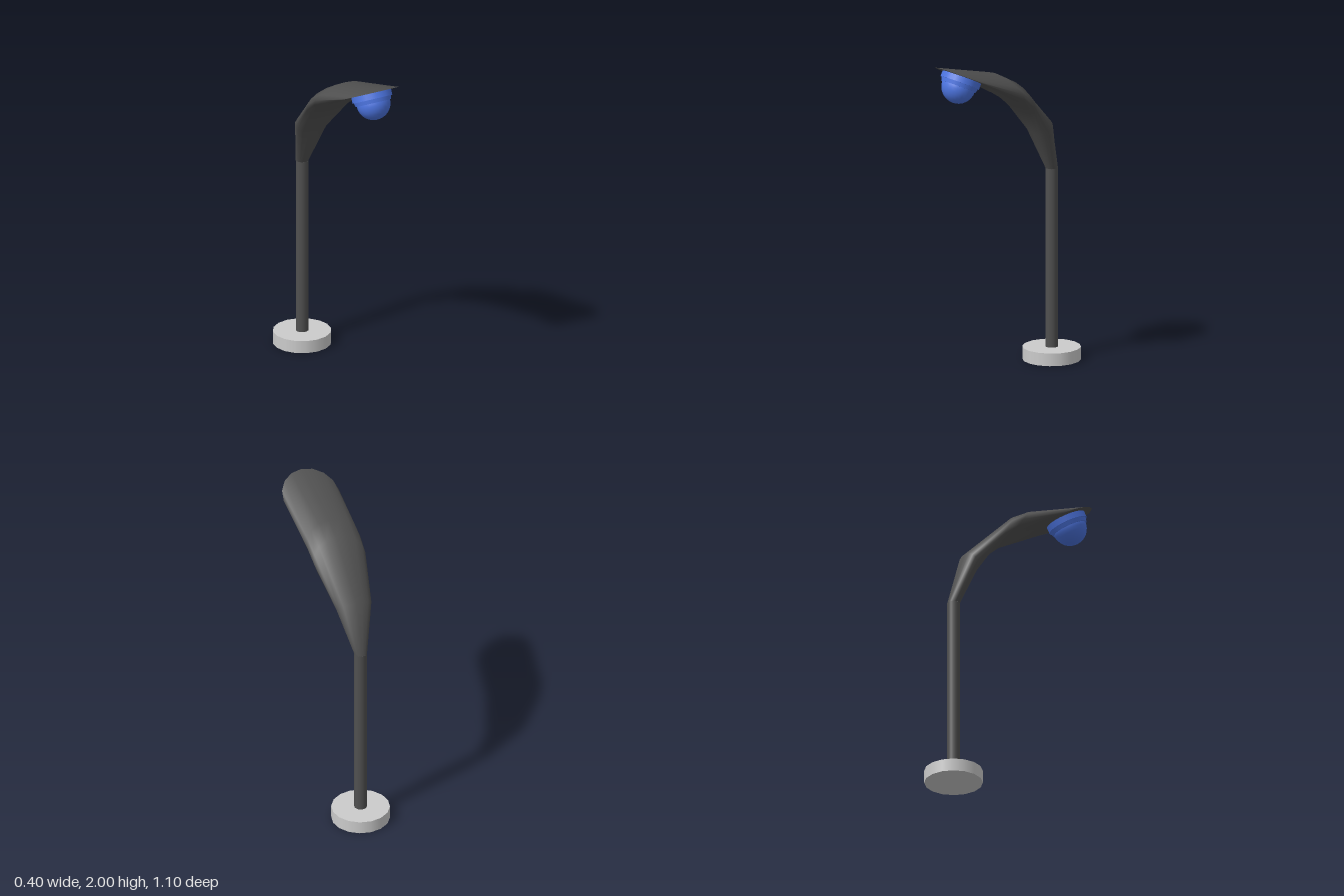
import * as THREE from 'three';

const SIDES = 16;

// Lofted rings: centre, half width across x, and the vector from centre to the ring's upper edge
const RINGS = [
  { x: -0.02, y: 1.21, z: -0.367, w: 0.04, upY: 0, upZ: -0.038 },
  { x: -0.015, y: 1.495, z: -0.265, w: 0.115, upY: 0.045, upZ: -0.045 },
  { x: 0, y: 1.72, z: -0.06, w: 0.169, upY: 0.12, upZ: 0.06 },
  { x: 0.004, y: 1.785, z: 0.035, w: 0.174, upY: 0.112, upZ: 0.075 },
  { x: 0.02, y: 1.915, z: 0.373, w: 0.18, upY: 0.085, upZ: 0.175 },
];

function ringPoints(r) {
  return Array.from({ length: SIDES }, (_, j) => {
    const a = (j / SIDES) * Math.PI * 2;
    return [r.x + r.w * Math.sin(a), r.y + r.upY * Math.cos(a), r.z + r.upZ * Math.cos(a)];
  });
}

function buildGeometry(points, index) {
  const g = new THREE.BufferGeometry();
  g.setAttribute('position', new THREE.Float32BufferAttribute(points.flat(), 3));
  g.setIndex(index);
  g.computeVertexNormals();
  return g;
}

function loftGeometry(rings) {
  const index = [];
  for (let i = 0; i < rings.length - 1; i++) {
    for (let j = 0; j < SIDES; j++) {
      const k = (j + 1) % SIDES;
      const a = i * SIDES + j, b = i * SIDES + k;
      index.push(a, a + SIDES, b, b, a + SIDES, b + SIDES);
    }
  }
  return buildGeometry(rings.flatMap(ringPoints), index);
}

function capGeometry(ring) {
  const index = [];
  for (let j = 0; j < SIDES; j++) index.push(SIDES, (j + 1) % SIDES, j);
  return buildGeometry([...ringPoints(ring), [ring.x, ring.y, ring.z]], index);
}

export function createModel() {
  const model = new THREE.Group();
  const grey = new THREE.MeshStandardMaterial({ color: 0xcccccc });
  const dark = new THREE.MeshStandardMaterial({ color: 0x505050, side: THREE.DoubleSide });
  const blue = new THREE.MeshStandardMaterial({ color: 0x4c74e0 });

  const add = (name, geometry, material, parent = model) => {
    const mesh = new THREE.Mesh(geometry, material);
    mesh.name = name;
    parent.add(mesh);
    return mesh;
  };

  // Round foot and straight post
  add('base', new THREE.CylinderGeometry(0.18, 0.18, 0.08, SIDES), grey).position.set(-0.02, 0.04, -0.367);
  add('post', new THREE.CylinderGeometry(0.039, 0.039, 1.13, SIDES), dark).position.set(-0.02, 0.645, -0.367);

  // Curved arm widening into a hood with a flat, tilted underside
  add('hood', loftGeometry(RINGS), dark);
  add('hoodUnderside', capGeometry(RINGS[RINGS.length - 1]), dark);

  // Lamp: stepped collar and dome, tilted with the underside
  const lamp = new THREE.Group();
  lamp.name = 'lamp';
  lamp.position.set(0.018, 1.922, 0.388);
  lamp.rotation.x = -0.455;
  model.add(lamp);

  add('collar', new THREE.CylinderGeometry(0.125, 0.125, 0.04, 24), blue, lamp).position.y = -0.018;
  add('collarStep', new THREE.CylinderGeometry(0.118, 0.112, 0.025, 24), blue, lamp).position.y = -0.05;
  const dome = new THREE.SphereGeometry(0.105, 24, 8, 0, Math.PI * 2, Math.PI / 2, Math.PI / 2);
  add('dome', dome, blue, lamp).position.y = -0.062;

  return model;
}
